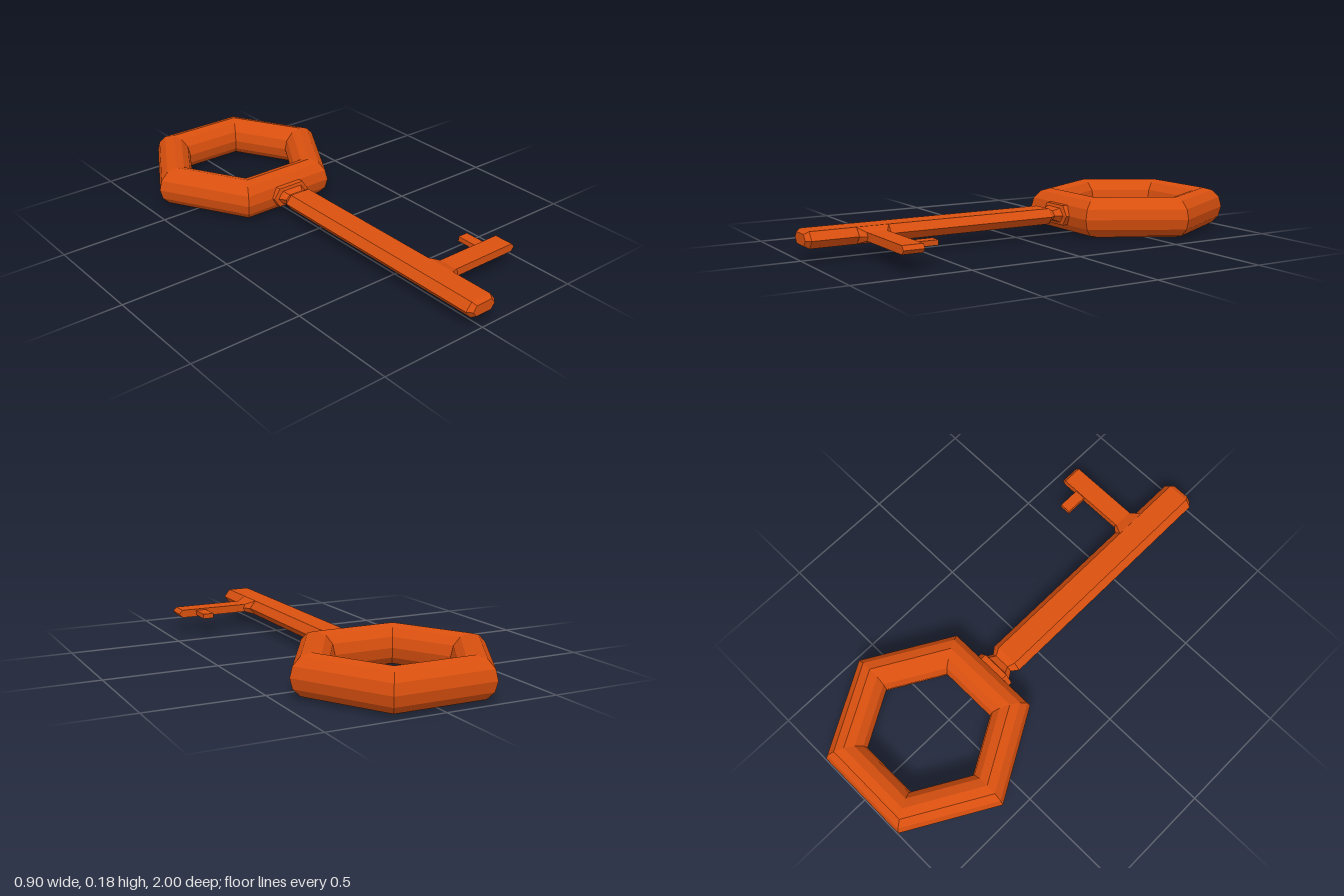
import * as THREE from 'three';

const material = new THREE.MeshStandardMaterial({ color: 0xd9500f, flatShading: true });

// Skins a row of equal-length point rings and closes both ends.
function loft(name, rings) {
  const pos = [];
  const tri = (...pts) => pts.forEach((p) => pos.push(...p));
  const n = rings[0].length;
  for (let i = 0; i < rings.length - 1; i++) {
    const a = rings[i], b = rings[i + 1];
    for (let j = 0; j < n; j++) {
      const k = (j + 1) % n;
      tri(a[j], a[k], b[k]);
      tri(a[j], b[k], b[j]);
    }
  }
  const first = rings[0], last = rings[rings.length - 1];
  for (let s = 1; s < n - 1; s++) {
    const u = (2 + s) % n, v = (3 + s) % n;
    tri(last[2], last[u], last[v]);
    tri(first[2], first[v], first[u]);
  }
  const geo = new THREE.BufferGeometry();
  geo.setAttribute('position', new THREE.Float32BufferAttribute(pos, 3));
  geo.computeVertexNormals();
  const mesh = new THREE.Mesh(geo, material);
  mesh.name = name;
  return mesh;
}

// Flattened hexagon across z: half width w, flat half width t, half height h
const hexRing = ([z, w, t, h]) =>
  [[w, 0, z], [t, h, z], [-t, h, z], [-w, 0, z], [-t, -h, z], [t, -h, z]];

// Section across x whose middle edge (xm) sits further out than its flats (x)
const armRing = ([x, xm, h, d]) =>
  [[x, h, -d], [x, h, d], [xm, 0, d], [x, -h, d], [x, -h, -d], [xm, 0, -d]];

export function createModel() {
  const key = new THREE.Group();
  key.name = 'key';
  const body = new THREE.Group();
  body.name = 'keyBody';
  body.position.y = 0.09;
  key.add(body);

  // Six-sided bow
  const bow = new THREE.Mesh(new THREE.TorusGeometry(0.36, 0.09, 12, 6), material);
  bow.name = 'bow';
  bow.rotation.x = Math.PI / 2;
  bow.position.z = -0.61;
  body.add(bow);

  // Collar, pinched neck and shaft with a bevelled end
  body.add(loft('shaft', [
    [-0.26, 0.095, 0.065, 0.045],
    [-0.205, 0.095, 0.065, 0.045],
    [-0.2, 0.075, 0.05, 0.032],
    [-0.17, 0.055, 0.035, 0.02],
    [-0.14, 0.078, 0.05, 0.035],
    [0.98, 0.078, 0.05, 0.035],
    [1.0, 0.058, 0.04, 0.024],
  ].map(hexRing)));

  // Arm flaring out of the shaft, with a pointed tip
  const arm = loft('bitArm', [
    [0.045, 0.07, 0.034, 0.07],
    [0.052, 0.079, 0.034, 0.07],
    [0.095, 0.105, 0.018, 0.045],
    [0.42, 0.435, 0.018, 0.045],
  ].map(armRing));
  arm.position.z = 0.71;
  body.add(arm);

  // Tooth pointing back toward the bow
  const tooth = new THREE.Mesh(new THREE.BoxGeometry(0.05, 0.022, 0.11), material);
  tooth.name = 'bitTooth';
  tooth.position.set(0.325, 0, 0.62);
  body.add(tooth);

  return key;
}
